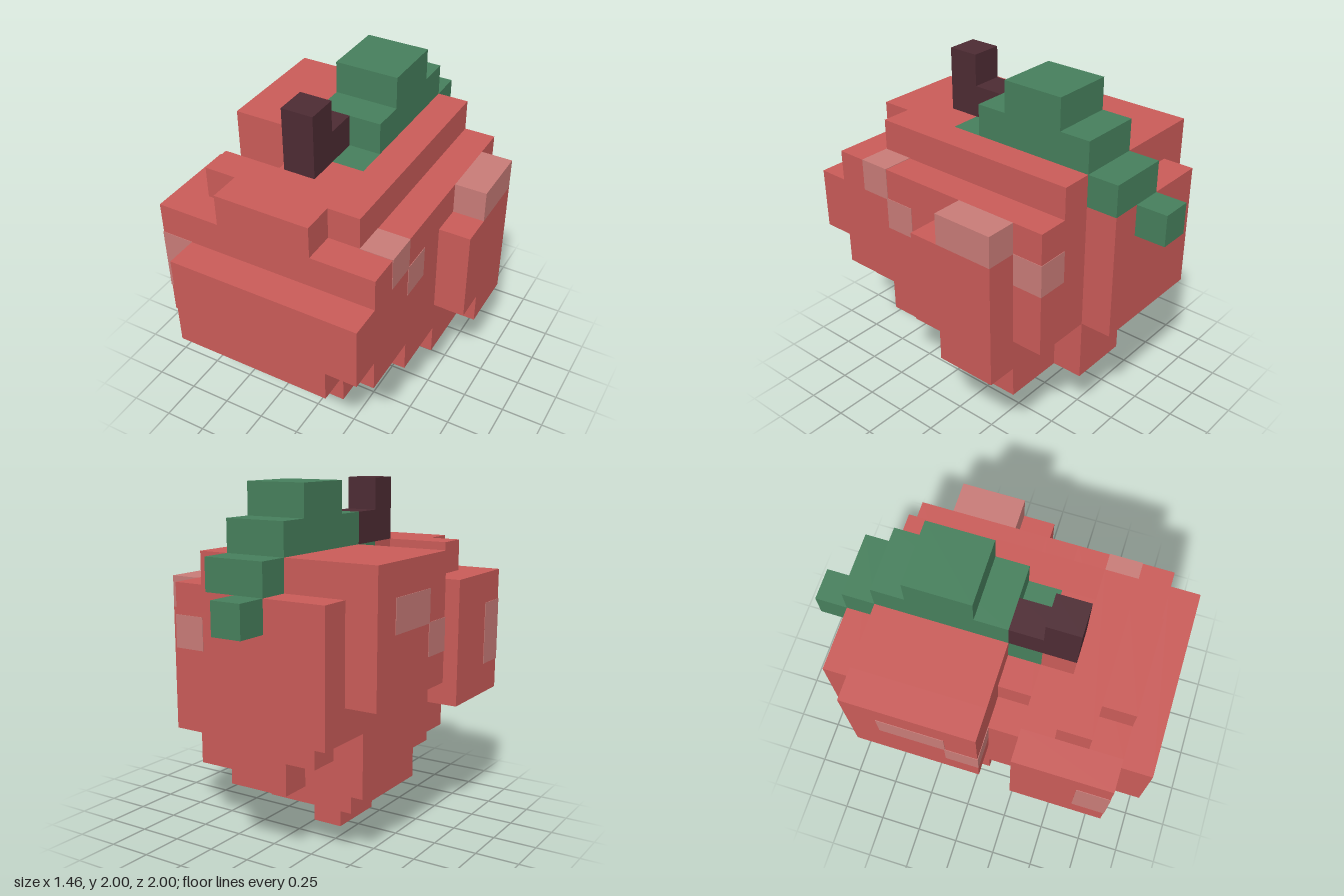
import * as THREE from 'three';

// Block grid: 8 wide (x), 11 high (y), 11 deep (z); one block is U units.
const U = 2 / 11;

function material(name, color) {
  const m = new THREE.MeshStandardMaterial({ color });
  m.name = name;
  return m;
}

// Box filling grid cells from (x0,y0,z0) to (x1,y1,z1), optionally grown a hair.
function block(mat, [x0, x1, y0, y1, z0, z1], grow = 0) {
  const g = 2 * grow;
  const mesh = new THREE.Mesh(
    new THREE.BoxGeometry((x1 - x0) * U + g, (y1 - y0) * U + g, (z1 - z0) * U + g), mat);
  mesh.position.set(((x0 + x1) / 2 - 4) * U, ((y0 + y1) / 2) * U, ((z0 + z1) / 2 - 5.5) * U);
  return mesh;
}

function part(name, mat, boxes, grow = 0) {
  const group = new THREE.Group();
  group.name = name;
  boxes.forEach((b, i) => {
    const mesh = block(mat, b, grow);
    mesh.name = `${name}Block${i + 1}`;
    group.add(mesh);
  });
  return group;
}

export function createModel() {
  const red = material('fruitRed', 0xc95b58);
  const pale = material('highlightPink', 0xc87b77);
  const green = material('leafGreen', 0x467f5c);
  const brown = material('stemBrown', 0x4d2b33);

  const model = new THREE.Group();
  model.name = 'blockFruit';

  // Boxes are [x0, x1, y0, y1, z0, z1] in grid cells.
  model.add(
    // Stepped underside
    part('base', red, [
      [3, 4, 0, 1, 5, 7],
      [2, 5, 1, 2, 4, 8],
      [3, 5, 2, 3, 2, 3], [2, 5, 2, 3, 3, 9], [5, 6, 2, 3, 3, 8],
      [6, 7, 2, 3, 3, 6], [1, 2, 2, 3, 3, 6],
      [2, 5, 3, 4, 2, 3], [2, 6, 3, 4, 3, 10],
      [6, 7, 3, 4, 3, 8], [1, 2, 3, 4, 3, 8],
    ]),
    // Main body, with a small notch in the upper right side
    part('body', red, [
      [1, 7, 4, 7, 2, 10],
      [1, 7, 7, 8, 2, 6], [2, 7, 7, 8, 6, 7], [1, 7, 7, 8, 7, 10],
    ]),
    part('frontBulge', red, [[1, 6, 4, 5, 10, 11], [1, 7, 5, 7, 10, 11]]),
    part('backBulge', red, [[1, 5, 4, 8, 1, 2]]),
    part('leftBulge', red, [[7, 8, 3, 4, 3, 5], [7, 8, 4, 7, 3, 6]]),
    part('rightBackLobe', red, [[0, 1, 5, 9, 2, 6], [1, 3, 8, 9, 2, 6]]),
    part('rightFrontLobe', red, [[0, 1, 4, 8, 7, 10]]),
    // Raised rim around the stem hollow
    part('topRim', red, [
      [5, 6, 8, 9, 2, 8], [3, 5, 8, 9, 7, 8],
      [1, 6, 8, 9, 8, 9], [2, 5, 8, 9, 9, 10],
    ]),
    // Shiny patches: a whole block on the left bulge, thin skins elsewhere
    part('leftBulgeHighlight', pale, [[7, 8, 7, 8, 3, 5]]),
    part('highlights', pale, [
      [6, 7, 7, 8, 8, 9], [6, 7, 6, 7, 7, 8],
      [6, 7, 6, 7, 2, 3],
      [0, 1, 5, 7, 9, 10],
      [0, 1, 7, 8, 3, 5], [0, 1, 6, 7, 5, 6],
    ], 0.003),
    // Leaf arching over the back
    part('leaf', green, [
      [3, 5, 8, 9, 2, 7], [3, 5, 9, 10, 2, 6], [3, 5, 10, 11, 3, 5],
      [3, 5, 8, 9, 1, 2], [3, 4, 7, 8, 0, 1],
    ]),
    part('stem', brown, [[3, 4, 9, 10, 6, 8], [3, 4, 10, 11, 7, 8]]),
  );
  return model;
}
